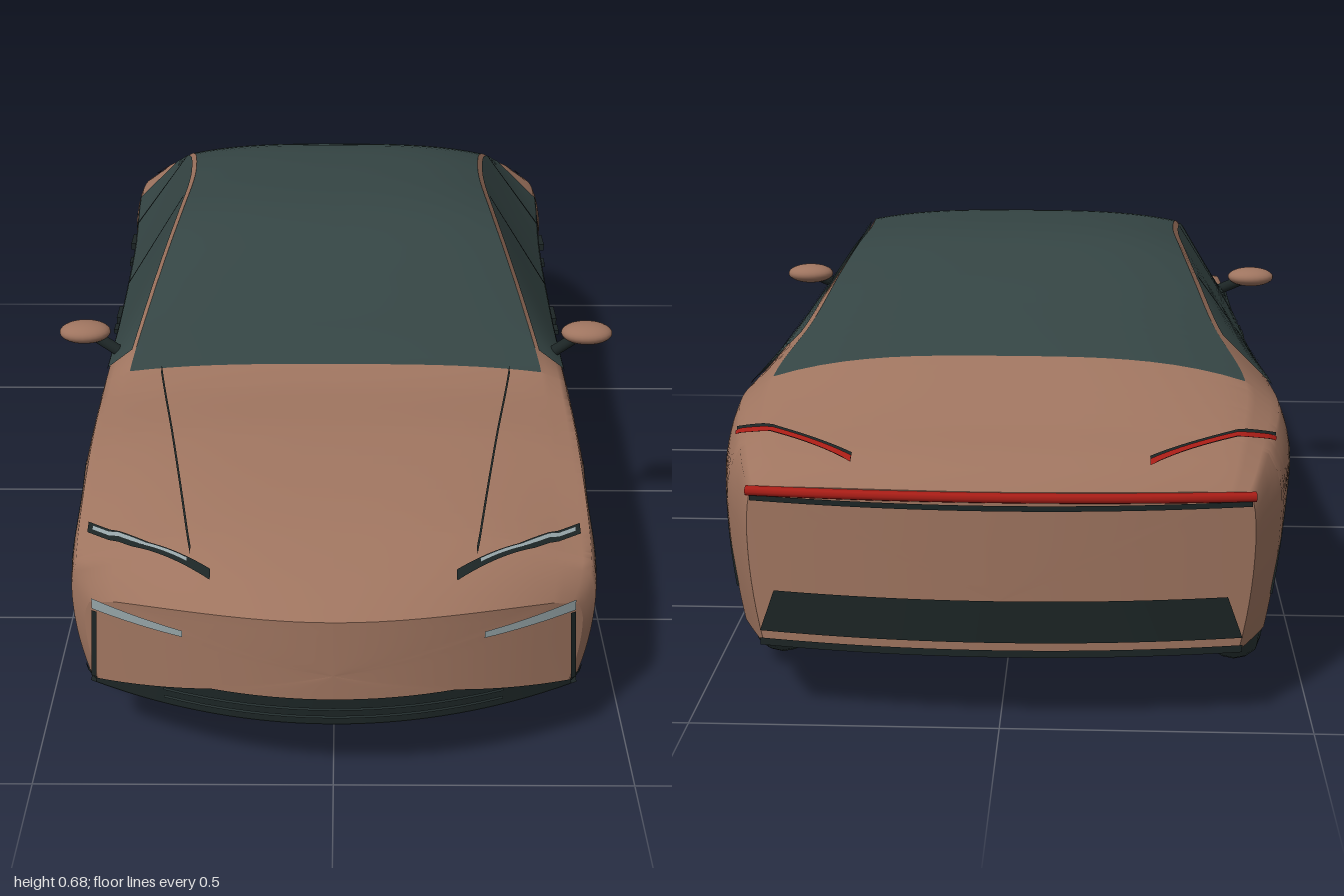
import * as THREE from 'three';

const mat = (name, color) => new THREE.MeshStandardMaterial({ name, color, side: THREE.DoubleSide });
const M = {
  paint: mat('copper paint', 0x9e745f), glass: mat('dark glass', 0x344443), black: mat('black trim', 0x1c2525),
  tyre: mat('tyre rubber', 0x2b3737), silver: mat('silver metal', 0x98a0a0), lens: mat('lamp lens', 0x94a3a6),
  red: mat('tail lamp red', 0xa81d16), floor: mat('floor black', 0x0d1112),
};

// Body stations: z, top y, roof/hood edge x y, shoulder x y, widest x
const ST = [
  [1.0, .322, .36, .30, .405, .283, .415], [.94, .36, .365, .325, .42, .307, .428],
  [.8, .411, .37, .374, .43, .358, .442], [.6, .449, .375, .43, .43, .42, .445],
  [.36, .474, .385, .458, .43, .44, .445], [.25, .55, .36, .53, .43, .44, .445],
  [.14, .627, .33, .605, .43, .441, .445], [.03, .67, .308, .65, .431, .445, .445],
  [-.15, .684, .295, .663, .435, .447, .446], [-.3, .678, .303, .655, .44, .45, .449],
  [-.42, .645, .322, .622, .447, .453, .458], [-.55, .596, .352, .565, .455, .458, .469],
  [-.69, .54, .40, .50, .458, .455, .478], [-.85, .47, .385, .452, .43, .43, .455],
  [-.96, .433, .37, .42, .41, .405, .42], [-1.0, .40, .36, .394, .395, .385, .402],
];
const SILL = .13, AXLES = [.636, -.666], WY = .19, ARCH = .204;
const lerp = THREE.MathUtils.lerp;

// Smooth interpolation between stations
function station(z) {
  let i = 0;
  while (i < ST.length - 2 && z < ST[i + 1][0]) i++;
  const a = ST[i], b = ST[i + 1], p = ST[Math.max(0, i - 1)], q = ST[Math.min(ST.length - 1, i + 2)];
  const h = b[0] - a[0], t = (z - a[0]) / h, t2 = t * t, t3 = t2 * t;
  return a.map((v, k) => {
    const ma = (b[k] - p[k]) / (b[0] - p[0]), mb = (q[k] - v) / (q[0] - a[0]);
    return (2 * t3 - 3 * t2 + 1) * v + (t3 - 2 * t2 + t) * h * ma + (3 * t2 - 2 * t3) * b[k] + (t3 - t2) * h * mb;
  });
}

// Nose and tail bow backwards towards the corners
function bow(x, y, z) {
  if (z > .85) z -= .128 * (x / .42) ** 2 * (z - .85) / .15;
  if (z < -.85) z -= .04 * (x / .4) ** 2 * (z + .85) / .15;
  return [x, y, z];
}
function lowEdge(z) {
  for (const c of AXLES) if (Math.abs(z - c) < ARCH) return WY + Math.sqrt(ARCH ** 2 - (z - c) ** 2);
  return SILL;
}
function sideX(y, z) {
  const [, , , , xC, yC, xW] = station(z), u = (y - SILL) / (yC - SILL);
  return u < .75 ? xW - .022 * (1 - u / .75) ** 2 : xW - (xW - xC) * ((u - .75) / .25) ** 2;
}
const sidePt = (z, y, m, off = 0) => bow(m * (sideX(y, z) + off), y, z);

// s: -1..0 bottom edge, 0..1 flank, 1..2 shoulder to roof edge, 2..3 roof edge to centre
function skin(z, s, m, off = 0) {
  const [, yT, xD, yD, xC, yC] = station(z);
  if (s < 0) return bow(m * (s + 1) * sideX(SILL, z), SILL, z);
  if (s <= 1) return sidePt(z, lerp(lowEdge(z), yC, s), m, off);
  if (s <= 2) return bow(m * (lerp(xC, xD, s - 1) + off), lerp(yC, yD, s - 1) + off * .6, z);
  const f = 3 - s;
  return bow(m * xD * f, yT - (yT - yD) * f ** 3.2 + off, z);
}
function onTop(x, z, off) {
  const [, , xD, , xC] = station(z), a = Math.abs(x);
  const s = a < xD ? 3 - a / xD : 1 + Math.max(0, (xC - a) / (xC - xD));
  return skin(z, s, Math.sign(x), off);
}

function patch(us, vs, fn) {
  const pos = [], idx = [], n = vs.length;
  us.forEach((u, i) => vs.forEach((v, j) => {
    pos.push(...fn(u, v));
    if (i && j) { const d = i * n + j, c = d - 1, b = d - n, a = b - 1; idx.push(a, c, b, b, c, d); }
  }));
  const g = new THREE.BufferGeometry();
  g.setAttribute('position', new THREE.Float32BufferAttribute(pos, 3));
  g.setIndex(idx);
  g.computeVertexNormals();
  return g;
}
const range = (a, b, n) => Array.from({ length: n + 1 }, (_, i) => lerp(a, b, i / n));

export function createModel() {
  const car = new THREE.Group();
  car.name = 'car';
  const add = (name, geo, m, parent = car) => {
    const o = new THREE.Mesh(geo, m);
    o.name = name;
    parent.add(o);
    return o;
  };
  const box = (name, w, h, d, x, y, z, m, parent) => {
    const o = add(name, new THREE.BoxGeometry(w, h, d), m, parent);
    o.position.set(x, y, z);
    return o;
  };
  const rod = (name, a, b, r, m) => add(name, new THREE.TubeGeometry(
    new THREE.LineCurve3(new THREE.Vector3(...a), new THREE.Vector3(...b)), 1, r, 14), m);

  // Length samples, finer round the wheel arches
  let zs = range(-1, 1, 70).concat([.36, -.69]);
  for (const c of AXLES) {
    zs.push(c - ARCH - .001, c + ARCH + .001);
    for (let i = 0; i <= 28; i++) zs.push(c + ARCH * Math.cos(i / 28 * Math.PI));
  }
  zs.sort((a, b) => b - a);
  const zone = (a, b) => zs.filter(z => z <= a && z >= b);
  const low = [...range(0, 1, 10), ...range(1, 2, 4).slice(1)], all = [...low, ...range(2, 3, 10).slice(1)];
  const ring = [...range(-1, 0, 8), ...all.slice(1)];

  for (const m of [1, -1]) {
    const side = m > 0 ? 'left' : 'right';
    const S = (name, us, vs, fn, c) => add(side + name, patch(us, vs, fn), c);
    // Painted shell
    S('FrontShell', zone(1, .36), all, (z, s) => skin(z, s, m), M.paint);
    S('DoorShell', zone(.36, -.69), low, (z, s) => skin(z, s, m), M.paint);
    S('RearShell', zone(-.69, -1), all, (z, s) => skin(z, s, m), M.paint);
    for (const e of [1, -1]) S(e > 0 ? 'NosePanel' : 'TailPanel', range(0, 1, 6), ring, (u, s) => {
      const [x, y] = skin(e, s, m);
      return bow(x * u, lerp(.22, y, u), e);
    }, M.paint);

    // Glass canopy, side windows and pillars
    S('Canopy', zone(.36, -.69), range(2, 3, 10), (z, s) => skin(z, s, m), M.glass);
    S('SideWindow', range(.315, -.575, 40), range(1.03, 1.96, 4), (z, s) => skin(z, s, m, .004), M.glass);
    for (const z of [-.06, -.405])
      S('Pillar', [z - .006, z + .006], range(1.04, 1.95, 4), (a, s) => skin(a, s, m, .006), M.black);
    S('WindowSill', range(.32, -.58, 30), [1, 1.035], (z, s) => skin(z, s, m, .004), M.black);

    // Thin slashes lying on the hood and the tail
    const slash = (name, x0, z0, x1, z1, w, c, off = .004) => S(name, range(0, 1, 16), [-.5, .5],
      (t, k) => onTop(m * lerp(x0, x1, t), lerp(z0, z1, t) + k * w, off), c);
    slash('HoodSeam', .325, .365, .235, .88, .02, M.black, .003);
    slash('HeadLamp', .41, .785, .2, .935, .022, M.black);
    slash('HeadLampLens', .4, .79, .24, .904, .009, M.lens, .006);
    slash('TailSlashTrim', .44, -.808, .235, -.953, .022, M.black);
    slash('TailSlash', .44, -.814, .235, -.959, .014, M.red, .006);

    // Lamps and inlets on the bumper
    const face = (x, y, e, off) => { const p = bow(m * x, y, e); p[2] += e * off; return p; };
    S('BumperLamp', range(.245, .4, 8), [0, 1], (x, k) => {
      const t = (x - .245) / .155;
      return face(x, lerp(.268, .275, t) + k * lerp(.012, .02, t), 1, .004);
    }, M.lens);
    S('AirSlot', range(.14, .272, 4), [0, .009], (y, k) => face(.396 + k + (.2 - y) * .06, y, 1, .004), M.black);
    S('Grille', range(0, .4, 16), [0, 1], (x, k) =>
      face(x, lerp(.13, x < .2 ? .178 : lerp(.178, .138, (x - .2) / .2), k), 1, .004), M.black);
    for (const y of [.143, .158])
      S('GrilleBar', range(0, .28, 8), [0, .005], (x, k) => face(x, y + k, 1, .007), M.tyre);
    S('FrontLip', range(0, .41, 14), [0, .06], (x, k) => {
      const p = face(x, .129, 1, .004); p[2] -= k; return p;
    }, M.black);
    S('FrontLipSide', range(1, .842, 10), [.128, .138], (z, y) => sidePt(z, y, m, .003), M.black);

    // Tail strip standing proud of the rear edge, and lower rear panel
    const tail = new THREE.CatmullRomCurve3(range(0, .4, 8).map(x =>
      new THREE.Vector3(...face(x, .391 - .006 * (x / .4) ** 2, -1, .001))));
    add(side + 'TailStrip', new THREE.TubeGeometry(tail, 16, .0085, 8), M.red);
    S('TailStripTrim', range(0, .395, 14), [.37, .379], (x, y) => face(x, y, -1, .004), M.black);
    S('RearPanel', range(0, 1, 14), [.152, .222], (t, y) => face(t * (y < .2 ? .385 : .36), y, -1, .004), M.black);
    S('RearLip', range(0, .385, 14), [.128, .14], (x, y) => face(x, y, -1, .005), M.black);

    // Rocker trim and arch liners
    S('Rocker', range(.428, -.458, 20), [.128, .15], (z, y) => sidePt(z, y, m, .005), M.black);
    S('RockerSweep', range(.1, -.455, 20), [0, 1], (z, k) => {
      const t = (.1 - z) / .555;
      return sidePt(z, .15 + .05 * t * t - k * lerp(.004, .022, t), m, .005);
    }, M.black);
    for (const c of AXLES) S('ArchLiner', range(0, Math.PI, 28), [.3, 1], (a, k) => {
      const z = c + ARCH * Math.cos(a), y = WY + ARCH * Math.sin(a);
      return [m * (k < 1 ? k : sideX(y, z) + .001), y, z];
    }, M.black);

    // Door handles and their small release tabs
    for (const [z, len] of [[.07, .03], [0, .06], [-.29, .03], [-.41, .06]])
      box(side + 'DoorHandle', .014, len > .05 ? .014 : .009, len, m * (sideX(.415, z) + .002), .415, z, M.black);

    // Mirror
    const mirror = add(side + 'Mirror', new THREE.SphereGeometry(1, 24, 16), M.paint);
    mirror.scale.set(.049, .02, .036);
    mirror.position.set(m * .481, .49, .25);
    rod(side + 'MirrorStalk', [m * .41, .455, .27], [m * .462, .482, .252], .011, M.black);

    // Underside rail
    rod(side + 'Rail', [m * .33, .15, .42], [m * .33, .15, -.45], .018, M.silver);

    for (const c of AXLES) {
      // Wheel, built with its axis on y and turned outward
      const wheel = new THREE.Group();
      wheel.name = side + (c > 0 ? 'FrontWheel' : 'RearWheel');
      wheel.position.set(m * .39, WY, c);
      wheel.rotation.z = -m * Math.PI / 2;
      car.add(wheel);
      const prof = [[.138, -.036], [.155, -.042], [.172, -.035], [.182, -.02], [.186, 0],
        [.182, .02], [.172, .035], [.155, .042], [.143, .036], [.139, .022]];
      add('tyre', new THREE.LatheGeometry(prof.map(p => new THREE.Vector2(...p)), 48), M.tyre, wheel);
      const disc = add('wheelDisc', new THREE.CylinderGeometry(.14, .14, .04, 36), M.tyre, wheel);
      disc.position.y = -.005;
      const hub = add('hub', new THREE.CylinderGeometry(.036, .04, .03, 20), M.silver, wheel);
      hub.position.y = .022;
      // Five spokes, each forking towards the rim
      for (let i = 0; i < 5; i++) {
        const spoke = new THREE.Group();
        spoke.name = 'forkedSpoke';
        spoke.rotation.y = i * Math.PI * 2 / 5 + (m > 0 ? Math.PI : 0);
        wheel.add(spoke);
        box('spokeStem', .055, .016, .026, .055, .023, 0, M.silver, spoke);
        for (const k of [1, -1])
          box('spokeBranch', .08, .015, .017, .105, .022, k * .025, M.silver, spoke).rotation.y = -k * .5;
      }
      // Suspension arm and coil spring
      rod(side + 'Axle', [m * .16, WY, c], [m * .36, WY, c], .016, M.silver);
      rod(side + 'SuspensionArm', [m * .2, .15, c - Math.sign(c) * .1], [m * .35, .16, c], .014, M.silver);
      for (let i = 0; i < 4; i++) {
        const coil = add(side + 'Coil', new THREE.TorusGeometry(.025, .005, 6, 18), M.paint);
        coil.rotation.x = Math.PI / 2;
        coil.position.set(m * .28, .2 + i * .02, c - Math.sign(c) * .05);
      }
    }
  }

  // Floor and drive units
  box('floorPan', .62, .025, .86, 0, .145, -.015, M.floor);
  for (const c of AXLES) {
    box('subframe', .5, .02, .11, 0, .165, c - Math.sign(c) * .14, M.black);
    rod('motor', [-.17, WY, c], [.17, WY, c], .05, M.silver);
    for (const x of range(-.15, .15, 5)) rod('motorRib', [x - .02, WY, c], [x + .02, WY, c], .064, M.silver);
  }
  return car;
}
